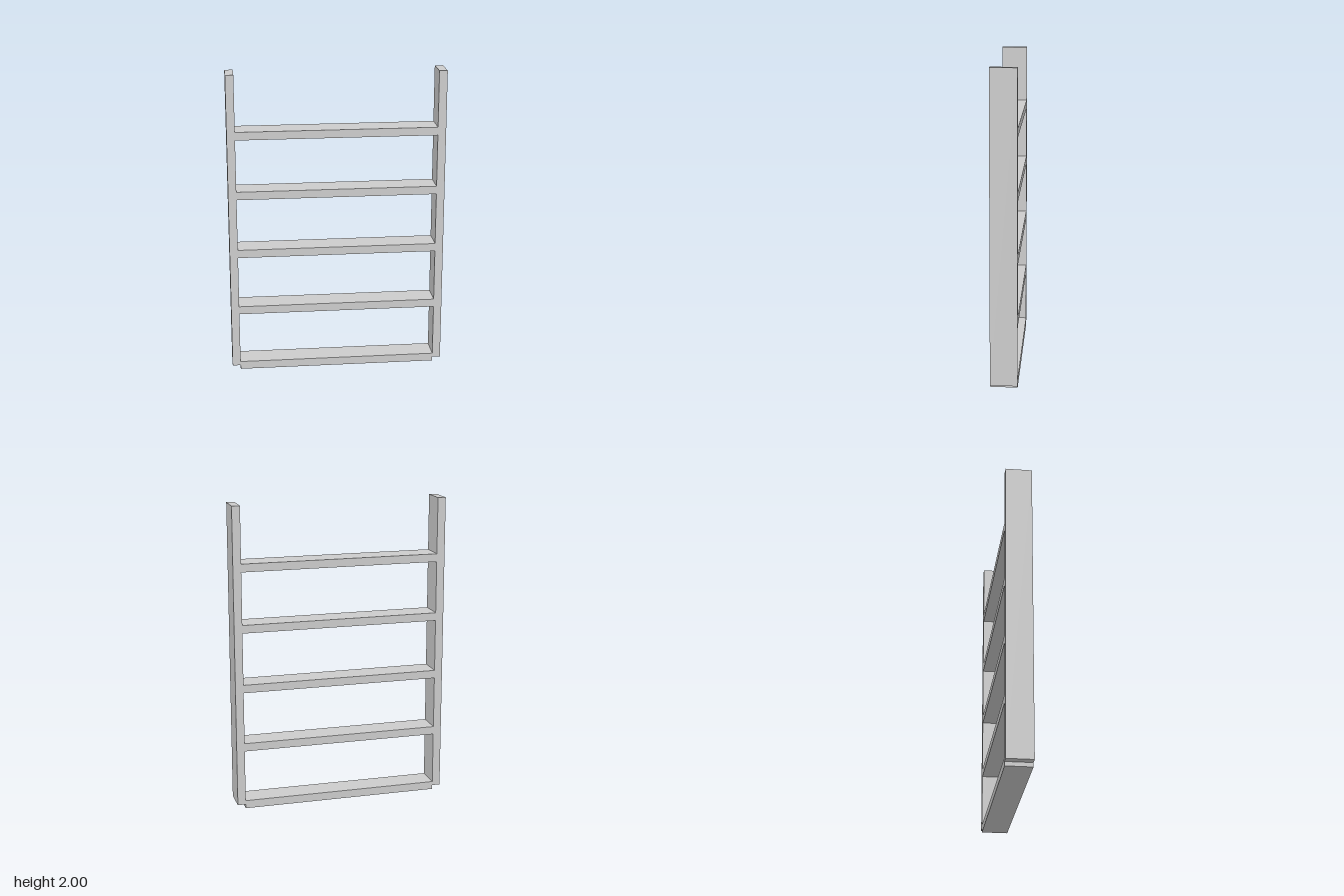
import * as THREE from 'three';

export function createModel() {
  const group = new THREE.Group();
  const material = new THREE.MeshStandardMaterial({ color: 0xcccccc });
  const depth = 0.17, thickness = 0.053, innerHalf = 0.65;
  const railBottom = 0.027, railTop = 2;

  const addBoard = (name, width, height, x, y) => {
    const mesh = new THREE.Mesh(new THREE.BoxGeometry(width, height, depth), material);
    mesh.name = name;
    mesh.position.set(x, y, 0);
    group.add(mesh);
  };

  // Upright side rails
  for (const [name, side] of [['leftRail', 1], ['rightRail', -1]]) {
    addBoard(name, thickness, railTop - railBottom,
      side * (innerHalf + thickness / 2), (railTop + railBottom) / 2);
  }

  // Evenly spaced rungs; the lowest hangs slightly below the rails
  for (let i = 0; i < 5; i++) {
    addBoard(`rung${i + 1}`, innerHalf * 2, thickness, 0, thickness / 2 + i * 0.395);
  }

  return group;
}
